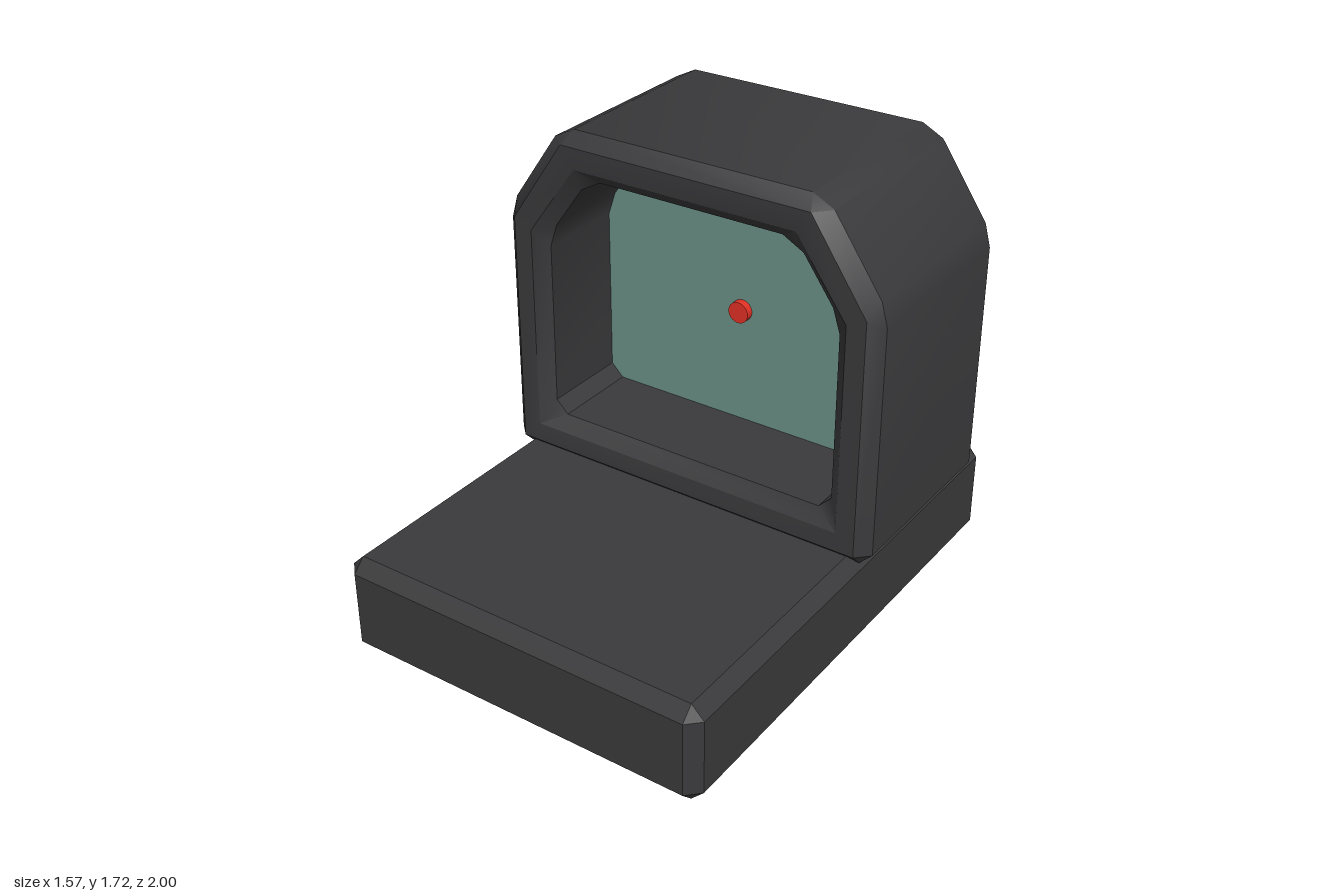
import * as THREE from 'three';
import { ConvexGeometry } from 'three/addons/geometries/ConvexGeometry.js';
import { toCreasedNormals } from 'three/addons/utils/BufferGeometryUtils.js';

const material = (color) => new THREE.MeshStandardMaterial({ color });

// Closed symmetric outline (counter-clockwise from the front) from its right half, bottom to top
const mirrorOutline = (half) => [...half, ...half.map(([x, y]) => [-x, y]).reverse()];
// Sharp corners are doubled so they pair with the two ends of a clipped corner
const sharpOutline = (half) => mirrorOutline(half.flatMap((p) => [p, p]));

// Box with every edge and corner cut off by c
function chamferedBox(w, h, d, c) {
  const points = [];
  for (const sx of [-1, 1]) for (const sy of [-1, 1]) for (const sz of [-1, 1]) {
    for (let axis = 0; axis < 3; axis++) {
      const size = [w, h, d].map((s, i) => s / 2 - (i === axis ? 0 : c));
      points.push(new THREE.Vector3(sx * size[0], sy * size[1], sz * size[2]));
    }
  }
  return new ConvexGeometry(points);
}

// Skin a closed loop of rings: out over the hood, round the back and through the opening
function loftRings(rings) {
  const positions = [];
  const triangle = (a, b, c) => {
    const t = new THREE.Triangle(...[a, b, c].map((p) => new THREE.Vector3(...p)));
    if (t.getArea() > 1e-7) positions.push(...a, ...b, ...c);
  };
  rings.forEach((ring, r) => {
    const next = rings[(r + 1) % rings.length];
    ring.forEach((a, i) => {
      const j = (i + 1) % ring.length;
      triangle(a, next[i], next[j]);
      triangle(a, next[j], ring[j]);
    });
  });
  const geometry = new THREE.BufferGeometry();
  geometry.setAttribute('position', new THREE.Float32BufferAttribute(positions, 3));
  return toCreasedNormals(geometry, 0.6);
}

export function createModel() {
  const group = new THREE.Group();
  const black = material(0x3a3a3c);
  const add = (name, geometry, mat, x, y, z) => {
    const mesh = new THREE.Mesh(geometry, mat);
    mesh.name = name;
    mesh.position.set(x, y, z);
    group.add(mesh);
    return mesh;
  };

  // Base slab
  add('base', chamferedBox(1.5, 0.394, 2, 0.05), black, 0, 0.197, 0);

  // Hood frame with bevelled rims
  const outerRim = sharpOutline([[0.735, 0.41], [0.735, 1.34], [0.51, 1.67]]);
  const outerWall = mirrorOutline([
    [0.735, 0.36], [0.785, 0.41], [0.785, 1.31], [0.76, 1.4], [0.57, 1.675], [0.486, 1.718],
  ]);
  const innerRim = sharpOutline([[0.66, 0.486], [0.66, 1.305], [0.455, 1.588]]);
  const innerWall = mirrorOutline([
    [0.56, 0.536], [0.61, 0.586], [0.61, 1.236], [0.58, 1.327], [0.46, 1.495], [0.377, 1.54],
  ]);
  const depth = 0.855, bevel = 0.05;
  const rings = [
    [outerRim, 0], [outerWall, -bevel], [outerWall, bevel - depth], [outerRim, -depth],
    [innerRim, -depth], [innerWall, bevel - depth], [innerWall, -bevel], [innerRim, 0],
  ].map(([outline, z]) => outline.map(([x, y]) => [x, y, z]));
  add('hood', loftRings(rings), black, 0, 0, 0);

  // Glass pane across the middle of the opening
  const pane = new THREE.Shape(innerWall.map(([x, y]) => new THREE.Vector2(x, y)));
  const glass = new THREE.ExtrudeGeometry(pane, { depth: 0.04, bevelEnabled: false });
  add('lens', glass, material(0x6b9186), 0, 0, -0.447);

  // Aiming dot on the front of the glass
  const dot = new THREE.CylinderGeometry(0.042, 0.042, 0.03, 32).rotateX(Math.PI / 2);
  add('aimingDot', dot, material(0xe03024), 0, 1, -0.392);

  return group;
}
